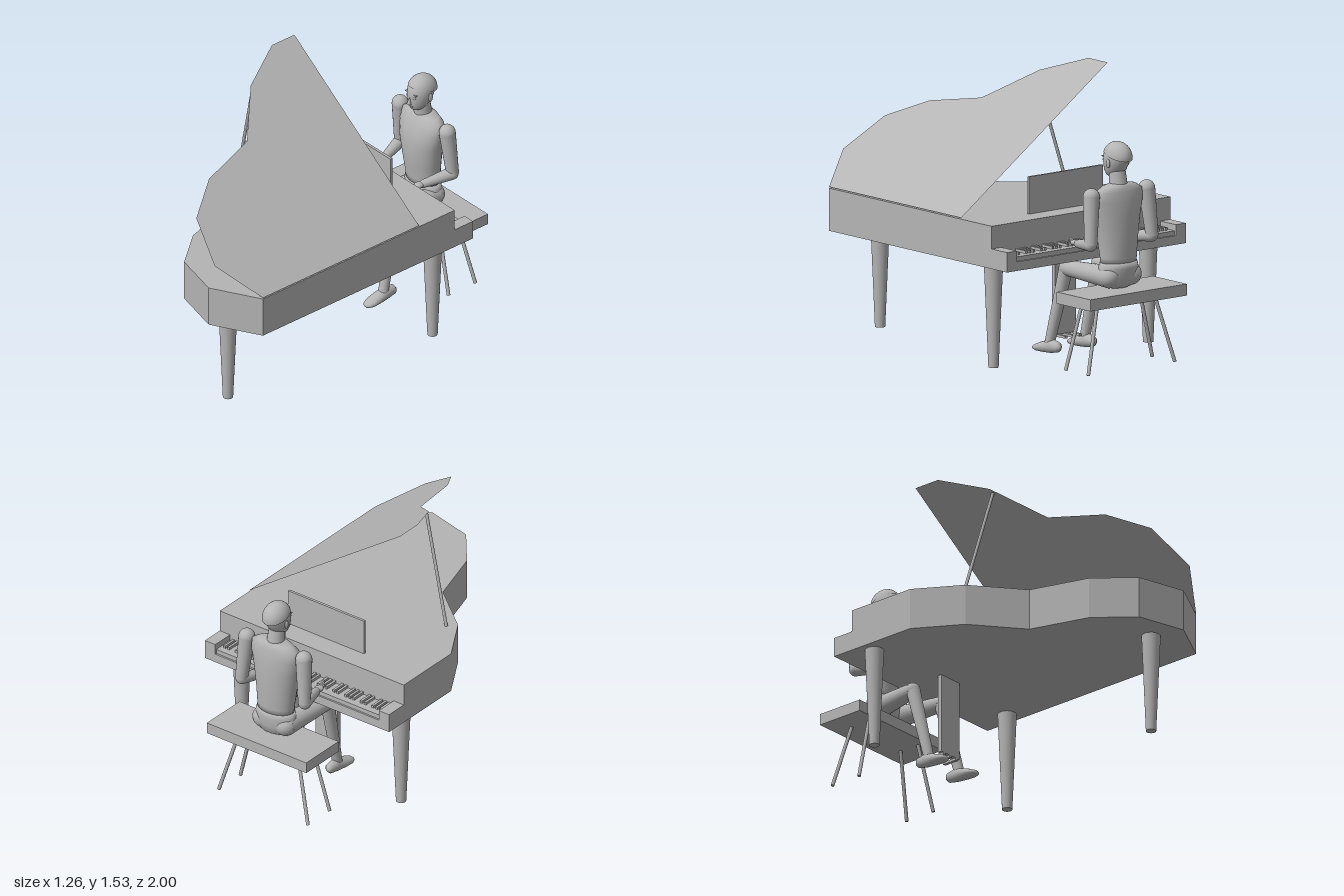
import * as THREE from 'three';

const grey = new THREE.MeshStandardMaterial({ color: 0xb4b4b4, side: THREE.DoubleSide });
grey.name = 'plain grey';

function add(parent, name, geometry, x = 0, y = 0, z = 0) {
  const mesh = new THREE.Mesh(geometry, grey);
  mesh.name = name;
  mesh.position.set(x, y, z);
  parent.add(mesh);
  return mesh;
}

// Box given by its lower and upper limits
function box(parent, name, [x0, x1], [y0, y1], [z0, z1]) {
  return add(parent, name, new THREE.BoxGeometry(x1 - x0, y1 - y0, z1 - z0),
    (x0 + x1) / 2, (y0 + y1) / 2, (z0 + z1) / 2);
}

// Tapered rod from a to b
function rod(parent, name, a, b, ra, rb = ra, sides = 20) {
  const p = new THREE.Vector3(...a), q = new THREE.Vector3(...b);
  const dir = q.clone().sub(p);
  const mesh = add(parent, name, new THREE.CylinderGeometry(rb, ra, dir.length(), sides));
  mesh.position.copy(p).lerp(q, 0.5);
  mesh.quaternion.setFromUnitVectors(new THREE.Vector3(0, 1, 0), dir.normalize());
  return mesh;
}

function ball(parent, name, [x, y, z], rx, ry = rx, rz = rx) {
  const mesh = add(parent, name, new THREE.SphereGeometry(1, 24, 16), x, y, z);
  mesh.scale.set(rx, ry, rz);
  return mesh;
}

// Rod with rounded ends
function limb(parent, name, a, b, ra, rb) {
  rod(parent, name, a, b, ra, rb);
  ball(parent, name + 'Start', a, ra);
  ball(parent, name + 'End', b, rb);
}

// Closed smooth body from ellipses [y, rx, zMin, zMax]
function loft(sections, n = 28) {
  const pos = [], idx = [], last = sections.length - 1;
  for (const [y, rx, z0, z1] of sections) {
    for (let j = 0; j < n; j++) {
      const a = (j / n) * Math.PI * 2;
      pos.push(rx * Math.cos(a), y, (z0 + z1) / 2 - ((z1 - z0) / 2) * Math.sin(a));
    }
  }
  for (const s of [sections[0], sections[last]]) pos.push(0, s[0], (s[2] + s[3]) / 2);
  const bottom = (last + 1) * n, top = bottom + 1;
  for (let j = 0; j < n; j++) {
    const k = (j + 1) % n;
    for (let i = 0; i < last; i++) {
      const a = i * n + j, b = i * n + k;
      idx.push(a, b, b + n, a, b + n, a + n);
    }
    idx.push(bottom, k, j, top, last * n + j, last * n + k);
  }
  const g = new THREE.BufferGeometry();
  g.setAttribute('position', new THREE.Float32BufferAttribute(pos, 3));
  g.setIndex(idx);
  g.computeVertexNormals();
  return g;
}

// Curved side of the case as x, z, from the player's end to the tail
const bentSide = [[-0.63, -0.1], [-0.475, 0.16], [-0.2, 0.38], [-0.1, 0.72],
  [0.07, 0.93], [0.355, 1], [0.63, 0.85]];

function outline(zBack, shift = 0) {
  const pts = [[-0.63, zBack], ...bentSide, [0.63, zBack]];
  return new THREE.Shape(pts.map(([x, z]) => new THREE.Vector2(x - shift, -z)));
}

function createPiano() {
  const piano = new THREE.Group();
  piano.name = 'piano';

  const caseGeo = new THREE.ExtrudeGeometry(outline(-0.515), { depth: 0.235, bevelEnabled: false });
  add(piano, 'case', caseGeo.rotateX(-Math.PI / 2), 0, 0.57, 0);

  // Open lid hinged on the straight side
  const lid = add(piano, 'lid', new THREE.ShapeGeometry(outline(-0.26, 0.63)).rotateX(-Math.PI / 2), 0.63, 0.812, 0);
  lid.rotation.z = -0.611;
  rod(piano, 'lidProp', [-0.43, 0.8, 0.115], [-0.255, 1.425, 0.165], 0.009, 0.009, 12);
  box(piano, 'musicDesk', [-0.26, 0.26], [0.8, 1.01], [-0.39, -0.375]);

  // Keyboard: six octaves
  box(piano, 'keyBed', [-0.63, 0.63], [0.57, 0.62], [-0.645, -0.515]);
  box(piano, 'whiteKeys', [-0.56, 0.56], [0.62, 0.645], [-0.635, -0.515]);
  for (const s of [-1, 1]) {
    box(piano, 'keyCheek', [s * 0.595 - 0.035, s * 0.595 + 0.035], [0.62, 0.68], [-0.645, -0.515]);
  }
  const pitch = 1.12 / 42;
  for (let octave = 0; octave < 6; octave++) {
    for (const k of [1, 2, 3, 5, 6]) {
      const x = -0.56 + (octave * 7 + k) * pitch;
      box(piano, 'blackKey', [x - 0.007, x + 0.007], [0.645, 0.66], [-0.597, -0.515]);
    }
  }

  for (const [x, z] of [[-0.545, -0.43], [0.545, -0.43], [0.3, 0.815]]) {
    rod(piano, 'pianoLeg', [x, 0.005, z], [x, 0.572, z], 0.028, 0.052, 28);
  }

  // Pedal column
  box(piano, 'pedalColumn', [-0.075, 0.075], [0.115, 0.57], [-0.385, -0.36]);
  for (const x of [-0.05, 0, 0.05]) {
    box(piano, 'pedal', [x - 0.009, x + 0.009], [0.102, 0.116], [-0.45, -0.36]);
  }
  return piano;
}

function createBench() {
  const bench = new THREE.Group();
  bench.name = 'bench';
  box(bench, 'benchSeat', [-0.34, 0.34], [0.373, 0.437], [-1, -0.715]);
  for (const s of [-1, 1]) {
    rod(bench, 'benchLeg', [s * 0.305, 0.005, -0.75], [s * 0.2, 0.38, -0.77], 0.01, 0.01, 12);
    rod(bench, 'benchLeg', [s * 0.305, 0.005, -0.94], [s * 0.2, 0.38, -0.893], 0.01, 0.01, 12);
  }
  return bench;
}

function createPlayer() {
  const player = new THREE.Group();
  player.name = 'player';

  add(player, 'torso', loft([[0.575, 0.112, -0.905, -0.752], [0.61, 0.113, -0.908, -0.75],
    [0.7, 0.122, -0.912, -0.735], [0.83, 0.142, -0.915, -0.722], [0.92, 0.16, -0.91, -0.74],
    [0.975, 0.155, -0.9, -0.765], [1.003, 0.11, -0.89, -0.78], [1.013, 0.05, -0.875, -0.79]]));
  add(player, 'pelvis', loft([[0.44, 0.06, -0.87, -0.79], [0.455, 0.105, -0.895, -0.765],
    [0.5, 0.13, -0.908, -0.75], [0.55, 0.125, -0.91, -0.748], [0.582, 0.116, -0.908, -0.75]]));
  rod(player, 'neck', [0, 1, -0.83], [0, 1.08, -0.82], 0.05, 0.045);

  // Head, hair and face
  add(player, 'head', loft([[1.043, 0.02, -0.8, -0.757], [1.053, 0.038, -0.83, -0.747],
    [1.085, 0.057, -0.868, -0.737], [1.13, 0.067, -0.893, -0.734], [1.17, 0.068, -0.903, -0.737],
    [1.205, 0.056, -0.893, -0.76], [1.23, 0.028, -0.86, -0.795], [1.236, 0.01, -0.84, -0.815]]));
  const hair = add(player, 'hair', new THREE.SphereGeometry(1, 28, 14, 0, Math.PI * 2, 0, 1.45), 0, 1.155, -0.824);
  hair.scale.set(0.073, 0.084, 0.09);
  hair.rotation.x = -0.3;
  const nose = add(player, 'nose', new THREE.ConeGeometry(0.013, 0.05, 12), 0, 1.115, -0.734);
  nose.rotation.x = -0.15;
  ball(player, 'mouth', [0, 1.073, -0.742], 0.02, 0.005, 0.006);
  for (const s of [-1, 1]) {
    ball(player, 'eye', [s * 0.028, 1.132, -0.745], 0.011, 0.007, 0.008);
    box(player, 'brow', [s * 0.029 - 0.015, s * 0.029 + 0.015], [1.15, 1.155], [-0.752, -0.74]);
    ball(player, 'ear', [s * 0.069, 1.125, -0.825], 0.008, 0.025, 0.014);
  }

  for (const s of [-1, 1]) {
    // Arms
    limb(player, 'upperArm', [s * 0.195, 0.96, -0.835], [s * 0.215, 0.705, -0.855], 0.046, 0.035);
    limb(player, 'forearm', [s * 0.215, 0.7, -0.852], [s * 0.165, 0.675, -0.69], 0.036, 0.023);
    ball(player, 'hand', [s * 0.16, 0.677, -0.662], 0.025, 0.016, 0.035);
    for (let i = 0; i < 3; i++) {
      rod(player, 'finger', [s * (0.152 + i * 0.008), 0.68, -0.65],
        [s * (0.14 + i * 0.008), 0.69 - i * 0.008, -0.59 - i * 0.008], 0.006, 0.005, 8);
    }
    // Legs, both feet set slightly to the left
    const ankle = s * 0.124 + 0.02;
    limb(player, 'thigh', [s * 0.075, 0.505, -0.84], [s * 0.115, 0.513, -0.53], 0.062, 0.042);
    limb(player, 'shin', [s * 0.115, 0.505, -0.525], [ankle, 0.09, -0.425], 0.039, 0.028);
    const foot = loft([[-0.51, 0.01, -0.08, -0.06], [-0.495, 0.026, -0.1, -0.045],
      [-0.44, 0.031, -0.112, -0.033], [-0.38, 0.038, -0.092, -0.03], [-0.33, 0.037, -0.073, -0.03],
      [-0.302, 0.024, -0.06, -0.034], [-0.295, 0.01, -0.052, -0.04]]);
    add(player, 'foot', foot.rotateX(Math.PI / 2), ankle, 0, 0);
  }
  return player;
}

export function createModel() {
  const model = new THREE.Group();
  model.name = 'pianist at a grand piano';
  model.add(createPiano(), createBench(), createPlayer());
  return model;
}
